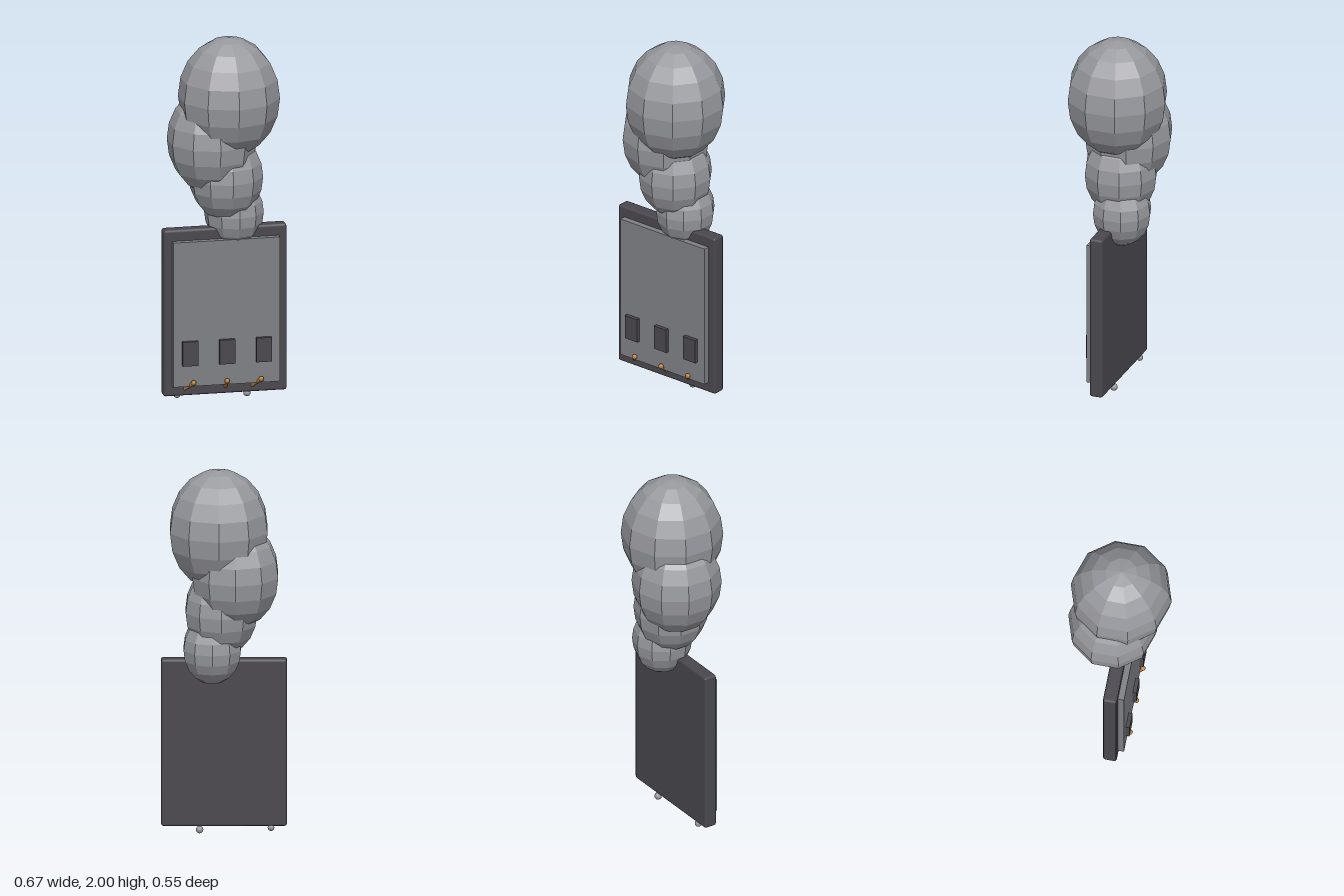
import * as THREE from 'three';
import { RoundedBoxGeometry } from 'three/addons/geometries/RoundedBoxGeometry.js';

export function createModel() {
  const root = new THREE.Group();
  const mat = (name, color, flatShading = false) => {
    const m = new THREE.MeshStandardMaterial({ color, flatShading });
    m.name = name;
    return m;
  };
  const smoke = mat('smokeGrey', 0x98999e, true);
  const plate = mat('plateGrey', 0x7e8084);
  const dark = mat('darkCasing', 0x4a484e);
  const brass = mat('brass', 0xb9803a);
  const steel = mat('steel', 0x9a9a9e);

  const add = (name, geometry, material, x, y, z) => {
    const mesh = new THREE.Mesh(geometry, material);
    mesh.name = name;
    mesh.position.set(x, y, z);
    root.add(mesh);
    return mesh;
  };

  // Upright casing with a raised front plate
  add('casing', new RoundedBoxGeometry(0.67, 0.92, 0.074, 1, 0.013), dark, 0, 0.5, 0.005);
  add('frontPlate', new THREE.BoxGeometry(0.58, 0.8, 0.035), plate, 0, 0.5, 0.0575);

  // Three switches, each with a brass peg below
  const up = new THREE.Vector3(0, 1, 0);
  for (const [x, lean] of [[-0.2, 0.04], [0, 0], [0.2, 0.04]]) {
    add('switchBlock', new THREE.BoxGeometry(0.084, 0.134, 0.03), dark, x, 0.285, 0.081);
    const base = new THREE.Vector3(x === 0 ? 0 : x > 0 ? 0.145 : -0.222, 0.077, 0.035);
    const tip = new THREE.Vector3(base.x + lean, 0.123, 0.088);
    const dir = tip.clone().sub(base);
    const mid = base.clone().add(tip).multiplyScalar(0.5);
    const peg = add('brassPeg', new THREE.CylinderGeometry(0.01, 0.01, dir.length(), 8), brass, mid.x, mid.y, mid.z);
    peg.quaternion.setFromUnitVectors(up, dir.normalize());
    add('pegTip', new THREE.SphereGeometry(0.014, 10, 8), brass, tip.x, tip.y, tip.z);
  }

  // Small steel feet under the casing
  add('footBall', new THREE.SphereGeometry(0.018, 10, 8), steel, -0.25, 0.031, -0.02);
  add('footBall', new THREE.SphereGeometry(0.02, 10, 8), steel, 0.13, 0.02, -0.02);

  // Rising faceted puffs, growing towards the top: radius, x, y, z
  const puffs = [
    [0.16, 0.063, 1.025, -0.04],
    [0.2, 0.014, 1.23, -0.016],
    [0.24, -0.06, 1.43, -0.03],
    [0.273, 0.028, 1.672, 0],
  ];
  for (const [r, x, y, z] of puffs) {
    const g = new THREE.SphereGeometry(r, 10, 10);
    g.rotateY(Math.PI / 2);
    g.scale(1, 1.2, 1);
    add('smokePuff', g, smoke, x, y, z);
  }
  return root;
}
